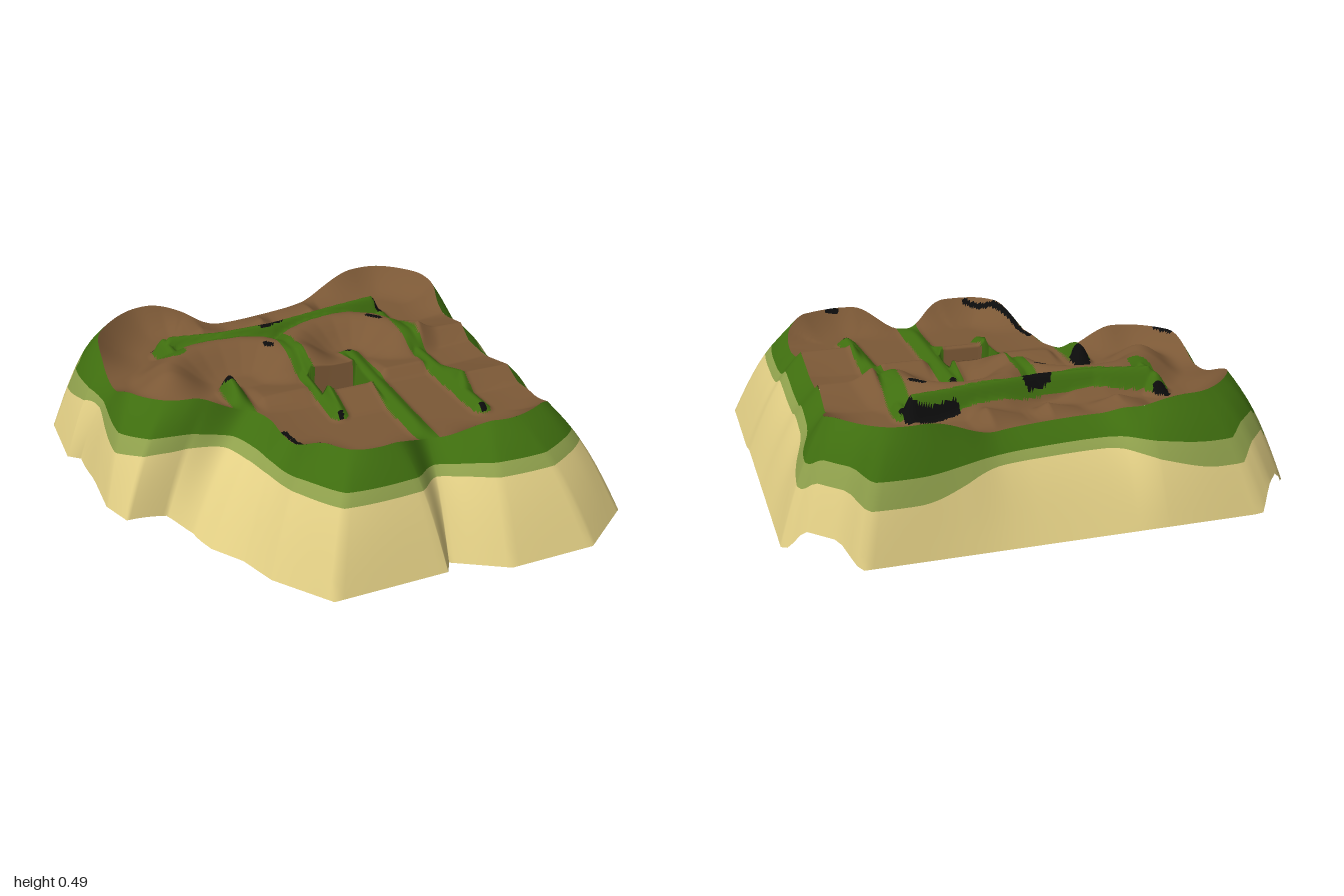
import * as THREE from 'three';

const { lerp, clamp, smoothstep } = THREE.MathUtils;

const mat = (name, color) => {
  const m = new THREE.MeshStandardMaterial({ color, side: THREE.DoubleSide });
  m.name = name;
  return m;
};

// Plan outline, clockwise from above: track edge x,z and the base point x,z below it
const outline = [
  [-.80, -.45, -1, -.42], [-.77, -.62, -1, -.70], [-.58, -.79, -.78, -.96], [-.37, -.77, -.40, -.96],
  [-.27, -.69, -.27, -.96], [.10, -.71, .10, -.96], [.35, -.78, .35, -.96], [.62, -.80, .75, -.96],
  [.80, -.60, 1, -.70], [.77, -.42, 1, -.42], [.76, .20, 1, .20], [.78, .40, 1, .42],
  [.75, .56, 1, .78], [.56, .66, .77, .95], [.43, .65, .41, .95], [.23, .55, .20, .83],
  [.06, .65, .17, .88], [-.13, .64, -.30, .88], [-.24, .48, -.47, .67], [-.28, .32, -.53, .52],
  [-.29, .18, -.62, .40], [-.34, .09, -.66, .29], [-.50, .07, -.74, .20], [-.66, .04, -.90, .20],
  [-.78, -.08, -.95, .08], [-.80, -.28, -.95, -.38],
];

// Banked bends: centre x,z and reach
const bends = [[-.63, -.7, .42], [.62, -.72, .42], [.57, .65, .32], [-.08, .62, .32], [-.68, .02, .34]];

// Green ridges between the lanes: half width, height, path
const ridges = [
  [.045, .03, [[.22, -.19], [.23, .6]]],
  [.04, .035, [[.49, -.50], [.49, -.2], [.53, .42]]],
  [.035, .035, [[-.05, -.43], [-.02, .26]]],
  [.05, .08, [[-.52, -.5], [-.51, -.37]]],
  [.045, .1, [[-.5, -.47], [-.28, -.43], [-.05, -.43], [.25, -.48], [.46, -.51]]],
  [.045, .08, [[-.36, -.09], [-.36, .1]]],
];

// Banked dirt berms inside the hairpins: centre x,z, radii x,z
const berms = [[-.32, -.2, .26, .18], [.22, -.2, .24, .22]].map(([cx, cz, rx, rz]) =>
  [.13, .09, Array.from({ length: 9 }, (_, i) => {
    const a = Math.PI * i / 8;
    return [cx - rx * Math.cos(a), cz - rz * Math.sin(a)];
  })]);

// Black patches: half width, path
const patches = [
  [.016, [[-.55, -.545], [-.51, -.54]]], [.02, [[-.09, -.435], [-.01, -.45]]],
  [.018, [[.30, -.53], [.40, -.55], [.48, -.545], [.49, -.49]]], [.012, [[.38, -.36], [.42, -.32]]],
  [.035, [[-.36, -.12], [-.35, -.10]]], [.011, [[-.27, .3], [-.24, .46], [-.18, .57], [-.07, .645]]],
  [.014, [[.22, -.21], [.22, -.20]]], [.014, [[.53, .43], [.53, .44]]],
  [.012, [[-.13, -.29], [-.11, -.27]]], [.012, [[-.02, .275], [-.02, .28]]],
  [.008, [[-.78, -.08], [-.73, -.01]]], [.01, [[.53, .655], [.57, .655]]],
];

// One at the middle, fading to zero at distance r
const hump = (d, r) => 1 - smoothstep(d, .35 * r, r);
const bendAt = (x, z) => Math.max(...bends.map(([cx, cz, r]) => hump(Math.hypot(x - cx, z - cz), r)));
const baseHeight = (x, z) => .03 * (1 - smoothstep(z, .2, .35))
  + .09 * hump(Math.hypot(Math.abs(x) - .88, z + .84), .17) + .05 * hump(Math.hypot(x + .95, z - .05), .4);

// Distance from a point to a polyline, with the nearest point
function nearest(x, z, path) {
  let best = { d: Infinity };
  for (let i = 0; i + 1 < path.length; i++) {
    const [ax, az] = path[i], dx = path[i + 1][0] - ax, dz = path[i + 1][1] - az;
    const t = clamp(((x - ax) * dx + (z - az) * dz) / (dx * dx + dz * dz), 0, 1);
    const px = ax + dx * t, pz = az + dz * t, d = Math.hypot(x - px, z - pz);
    if (d < best.d) best = { d, px, pz };
  }
  return best;
}

function inside(x, z, loop) {
  let r = false;
  for (let i = 0; i + 1 < loop.length; i++) {
    const [ax, az] = loop[i], [bx, bz] = loop[i + 1];
    if ((az > z) !== (bz > z) && x < ax + (bx - ax) * (z - az) / (bz - az)) r = !r;
  }
  return r;
}

const within = (v, a, b, soft = .02) => smoothstep(v, a - soft, a + soft) * (1 - smoothstep(v, b - soft, b + soft));
// Ramp that climbs from a to b and drops to c
const ramp = (v, a, b, c) => (v < a || v > c ? 0 : v < b ? (v - a) / (b - a) : (c - v) / (c - b));

// Jumps and rollers on the lanes, and the square pit
function jumps(x, z) {
  if (x > -.025 && x < .185 && z > -.05 && z < .11) return -.08;
  const rollers = ramp(x, -.45, -.32, -.2) + ramp(x, -.18, -.04, .02) + ramp(x, .05, .2, .27);
  return within(x, .53, .86) * .06 * (ramp(z, -.38, -.19, -.11) + ramp(z, .04, .22, .30))
    + within(x, .27, .47) * .04 * ramp(z, -.15, .03, .08)
    + within(x, -.28, -.06) * .03 * ramp(z, -.1, .04, .14)
    + within(x, -.02, .19, .01) * .05 * (ramp(z, -.25, -.06, 0) + ramp(z, .06, .13, .28))
    + (1 - smoothstep(z, -.6, -.52)) * .05 * rollers;
}

// Height of the rim around the track
const rimHeight = (x, z) => .395 + .09 * bendAt(x, z) + (x > .7 ? .8 * jumps(x, z) : 0);

// One geometry with a material group for each list of faces
function buildGeometry(positions, buckets) {
  const g = new THREE.BufferGeometry();
  g.setAttribute('position', new THREE.Float32BufferAttribute(positions, 3));
  g.setIndex(buckets.flat());
  let start = 0;
  buckets.forEach((b, i) => {
    g.addGroup(start, b.length, i);
    start += b.length;
  });
  g.computeVertexNormals();
  return g;
}

// Dirt surface with ridges, filling the track edge loop
function trackGeometry(edge) {
  const step = .009, n = Math.ceil(1.7 / step);
  const pos = [], filled = [], buckets = [[], [], []];
  for (let j = 0; j <= n; j++) for (let i = 0; i <= n; i++) {
    let x = -.85 + i * step, z = -.85 + j * step;
    const isIn = inside(x, z, edge), e = nearest(x, z, edge);
    let y = rimHeight(e.px, e.pz);
    if (isIn) {
      let raised = 0;
      for (const [w, top, path] of [...ridges, ...berms]) {
        raised = Math.max(raised, top * (1 - smoothstep(nearest(x, z, path).d, 0, w * 1.4)));
      }
      y = lerp(.385 + jumps(x, z) + raised, y, Math.max(0, 1 - e.d / .17) ** 2);
    } else {
      x = e.px;
      z = e.pz;
    }
    pos.push(x, y, z);
    filled.push(isIn);
  }
  const add = (...face) => {
    const mid = (axis) => face.reduce((sum, v) => sum + pos[v * 3 + axis], 0) / 3;
    const x = mid(0), z = mid(2);
    const black = patches.some(([w, path]) => nearest(x, z, path).d < w);
    const green = ridges.some(([w, , path]) => nearest(x, z, path).d < w);
    buckets[black ? 2 : green ? 1 : 0].push(...face);
  };
  for (let j = 0; j < n; j++) for (let i = 0; i < n; i++) {
    const a = j * (n + 1) + i, b = a + 1, c = a + n + 1, d = c + 1;
    if (!(filled[a] || filled[b] || filled[c] || filled[d])) continue;
    add(a, c, b);
    add(b, c, d);
  }
  return buildGeometry(pos, buckets);
}

// Sloping hillside lofted from the track edge down to the ragged base
function hillsideGeometry(edge, base) {
  const pos = [], buckets = [[], [], []], bands = [4, 2, 5], w = 12;
  edge.forEach(([ex, ez], i) => {
    const [bx, bz] = base[i], bend = bendAt(ex, ez);
    const ey = rimHeight(ex, ez), by = baseHeight(bx, bz);
    // Grass reaches further down around the rear bends
    const rear = 1 - smoothstep(ez, -.3, .35);
    const green = .28 + bend * lerp(.07, .2, rear);
    const stops = [0, green, green + .11 + .08 * bend * rear, 1];
    const put = (t) => pos.push(lerp(ex, bx, t), lerp(ey, by, t) + .05 * Math.sin(Math.PI * t), lerp(ez, bz, t));
    put(0);
    bands.forEach((m, q) => {
      for (let r = 1; r <= m; r++) put(lerp(stops[q], stops[q + 1], r / m));
    });
  });
  for (let i = 0; i + 1 < edge.length; i++) for (let r = 0; r < w - 1; r++) {
    const a = i * w + r, b = a + w;
    buckets[r < 4 ? 0 : r < 6 ? 1 : 2].push(a, b, a + 1, b, b + 1, a + 1);
  }
  return buildGeometry(pos, buckets);
}

export function createModel() {
  const dirt = mat('brown dirt', 0x7b5836), grass = mat('green grass', 0x3f6e0f);
  const olive = mat('olive grass', 0x8fa04c), sand = mat('sand', 0xe1ce84), black = mat('black', 0x0c0c0c);

  // Smooth track edge and straight-sided base, sampled together
  const n = outline.length, count = n * 12;
  const curve = new THREE.CatmullRomCurve3(outline.map(([x, z]) => new THREE.Vector3(x, 0, z)), true);
  const edge = [], base = [];
  for (let i = 0; i <= count; i++) {
    const p = curve.getPoint((i % count) / count), k = Math.floor(i / 12), s = (i % 12) / 12;
    const [, , ax, az] = outline[k % n], [, , bx, bz] = outline[(k + 1) % n];
    edge.push([p.x, p.z]);
    base.push([lerp(ax, bx, s), lerp(az, bz, s)]);
  }

  const group = new THREE.Group();
  group.name = 'dirtTrackHill';
  const track = new THREE.Mesh(trackGeometry(edge), [dirt, grass, black]);
  track.name = 'trackSurface';
  const hill = new THREE.Mesh(hillsideGeometry(edge, base), [grass, olive, sand]);
  hill.name = 'hillside';
  group.add(track, hill);
  return group;
}
